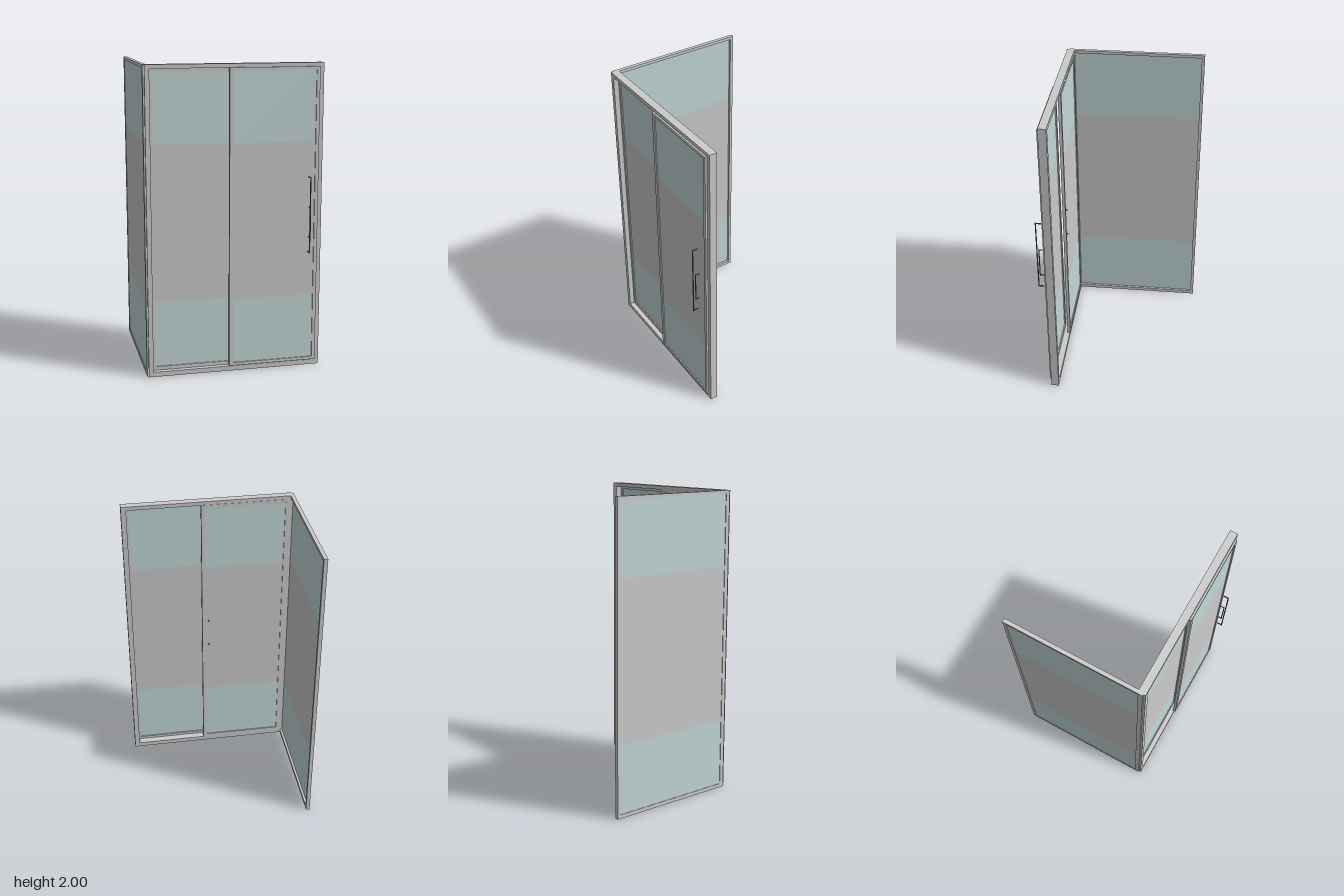
import * as THREE from 'three';

const grey = new THREE.MeshStandardMaterial({ color: 0xcccccc });
const clearTint = new THREE.MeshStandardMaterial({ color: 0xc4d8d8 });
const frostTint = new THREE.MeshStandardMaterial({ color: 0xcbcfcf });
const dark = new THREE.MeshStandardMaterial({ color: 0x66696c });

// box given by its minimum and maximum corners
function box(parent, name, [x0, y0, z0], [x1, y1, z1], material = grey) {
  const mesh = new THREE.Mesh(new THREE.BoxGeometry(x1 - x0, y1 - y0, z1 - z0), material);
  mesh.position.set((x0 + x1) / 2, (y0 + y1) / 2, (z0 + z1) / 2);
  mesh.name = name;
  parent.add(mesh);
  return mesh;
}

// framed pane in the XY plane: stile and rail widths, pane depth range g0..g1, null material skips the pane
function framedPanel(name, { x0, x1, y0, y1, z0, z1, left, right, bottom, top, pane }) {
  const group = new THREE.Group();
  group.name = name;
  box(group, 'leftStile', [x0, y0, z0], [x0 + left, y1, z1]);
  box(group, 'rightStile', [x1 - right, y0, z0], [x1, y1, z1]);
  box(group, 'bottomRail', [x0 + left, y0, z0], [x1 - right, y0 + bottom, z1]);
  box(group, 'topRail', [x0 + left, y1 - top, z0], [x1 - right, y1, z1]);
  if (pane) {
    const [g0, g1, b0, b1] = pane;
    const levels = [y0 + bottom, b0, b1, y1 - top];
    ['lowerGlass', 'frostedBand', 'upperGlass'].forEach((label, i) => {
      box(group, label, [x0 + left, levels[i], g0], [x1 - right, levels[i + 1], g1],
        i === 1 ? frostTint : clearTint);
    });
  }
  return group;
}

// pull handle: upright bar with two legs towards the door
function handle(name, x, y0, y1, zBar, zEnd, r) {
  const group = new THREE.Group();
  group.name = name;
  const bar = new THREE.Mesh(new THREE.CylinderGeometry(r, r, y1 - y0, 12), dark);
  bar.name = 'handleBar';
  bar.position.set(x, (y0 + y1) / 2, zBar);
  group.add(bar);
  for (const y of [y0 + r, y1 - r]) {
    const leg = new THREE.Mesh(new THREE.CylinderGeometry(r, r, Math.abs(zBar - zEnd), 12), dark);
    leg.name = 'handleLeg';
    leg.rotation.x = Math.PI / 2;
    leg.position.set(x, y, (zBar + zEnd) / 2);
    group.add(leg);
  }
  return group;
}

export function createModel() {
  const model = new THREE.Group();
  model.name = 'showerEnclosure';

  // outer frame of the front
  model.add(framedPanel('frontFrame', {
    x0: -0.565, x1: 0.575, y0: 0, y1: 2, z0: 0.38, z1: 0.431,
    left: 0.03, right: 0.035, bottom: 0.032, top: 0.026,
  }));

  // inner panel, behind the door
  model.add(framedPanel('innerPanel', {
    x0: -0.538, x1: 0.05, y0: 0.03, y1: 1.976, z0: 0.378, z1: 0.398,
    left: 0.022, right: 0.025, bottom: 0.026, top: 0.022, pane: [0.385, 0.391, 0.49, 1.505],
  }));

  // outer sliding door
  model.add(framedPanel('slidingDoor', {
    x0: -0.037, x1: 0.547, y0: 0.038, y1: 1.976, z0: 0.422, z1: 0.443,
    left: 0.025, right: 0.022, bottom: 0.02, top: 0.02, pane: [0.43, 0.436, 0.49, 1.505],
  }));

  // return wall, built facing front and turned to the right side
  const side = framedPanel('sidePanel', {
    x0: -0.498, x1: 0.417, y0: 0, y1: 2, z0: -0.0125, z1: 0.0125,
    left: 0.021, right: 0.03, bottom: 0.025, top: 0.02, pane: [0.003, 0.009, 0.475, 1.515],
  });
  side.rotation.y = -Math.PI / 2;
  side.position.x = -0.5625;
  model.add(side);

  // handles, and the two fixing studs on the inside of the inner panel
  model.add(handle('longHandle', 0.48, 0.784, 1.282, 0.496, 0.46, 0.004));
  model.add(handle('shortHandle', 0.487, 0.88, 1.084, 0.482, 0.453, 0.0035));
  for (const y of [0.883, 1.08]) {
    const stud = new THREE.Mesh(new THREE.CylinderGeometry(0.004, 0.004, 0.014, 12), dark);
    stud.name = 'handleStud';
    stud.rotation.x = Math.PI / 2;
    stud.position.set(0.004, y, 0.38);
    model.add(stud);
  }
  return model;
}
